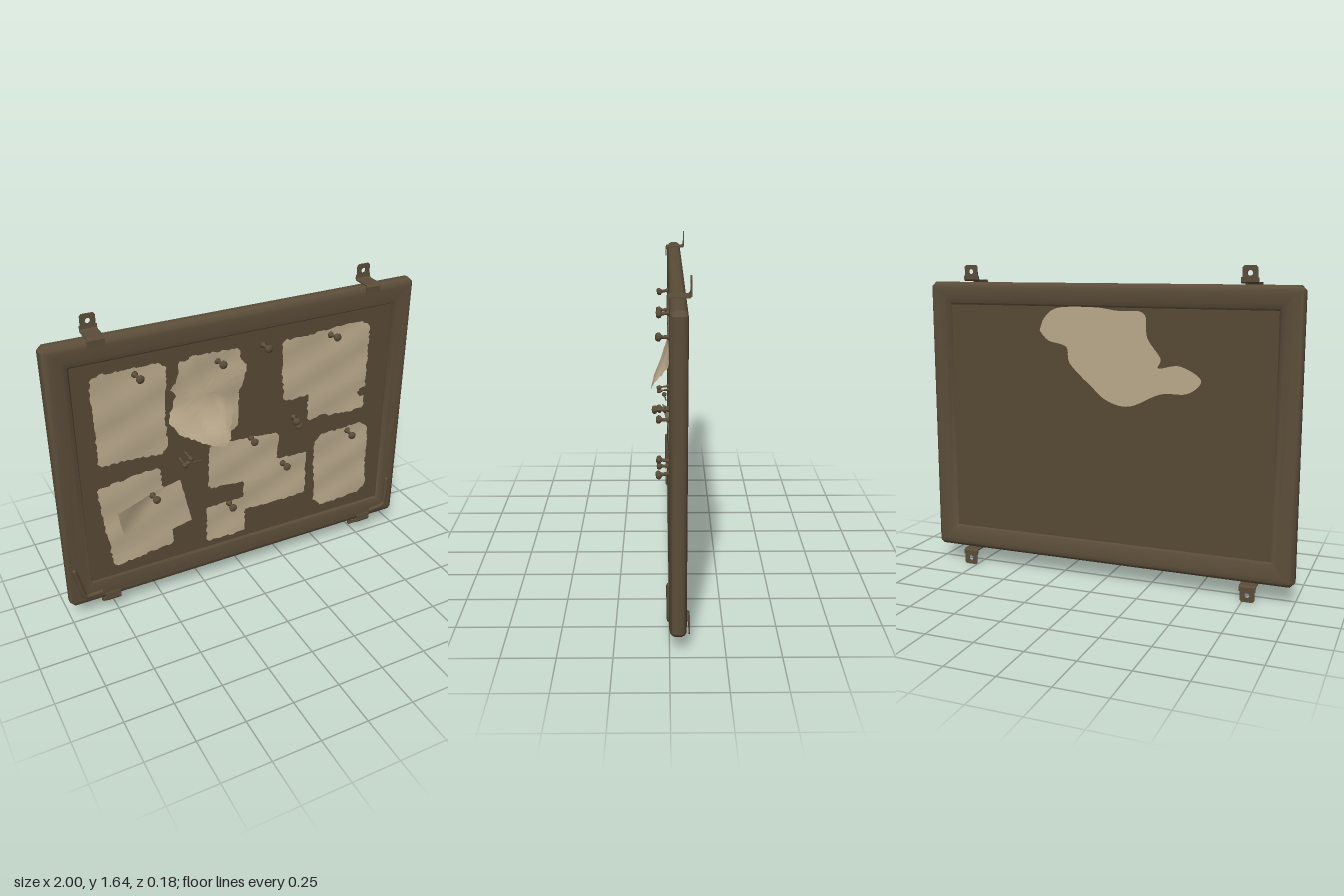
import * as THREE from 'three';
import { toCreasedNormals } from 'three/addons/utils/BufferGeometryUtils.js';

const wood = new THREE.MeshStandardMaterial({ color: 0x5b4d39 });
wood.name = 'weathered brown';
const cork = new THREE.MeshStandardMaterial({ color: 0x574935 });
cork.name = 'dark cork';
const paperMat = new THREE.MeshStandardMaterial({ color: 0xbaa98b, side: THREE.DoubleSide });
paperMat.name = 'old paper';

let seed = 7;
const rand = () => (seed = (seed * 16807) % 2147483647) / 2147483647;
const V = (x, y, z) => new THREE.Vector3(x, y, z);
const vec2 = (list) => list.map(([x, y]) => new THREE.Vector2(x, y));

function add(parent, name, geometry, material) {
  const mesh = new THREE.Mesh(geometry, material);
  mesh.name = name;
  parent.add(mesh);
  return mesh;
}

function meshGeometry(positions, indices) {
  const g = new THREE.BufferGeometry();
  g.setAttribute('position', new THREE.Float32BufferAttribute(positions, 3));
  g.setIndex(indices);
  g.computeVertexNormals();
  return g;
}

// Mitred frame: a moulding profile [inset, z] swept around a clipped rectangle
function frameGeometry() {
  const profile = [[0.122, -0.03], [0.122, -0.012], [0.116, -0.006], [0.09, -0.002], [0.035, 0.002],
    [0.02, -0.002], [0.008, -0.01], [0, -0.024], [0, -0.054], [0.008, -0.067], [0.02, -0.074],
    [0.04, -0.076], [0.08, -0.072], [0.11, -0.064], [0.122, -0.052]];
  const pos = [], idx = [], n = profile.length;
  for (const [d, z] of profile) {
    const w = 1 - d, h = 0.7325 - d, c = Math.max(0.002, 0.024 - d);
    const loop = [[-w + c, -h], [w - c, -h], [w, -h + c], [w, h - c], [w - c, h], [-w + c, h], [-w, h - c], [-w, -h + c]];
    for (const [x, y] of loop) pos.push(x, y + 0.8225, z);
  }
  for (let i = 0; i < n; i++) for (let j = 0; j < 8; j++) {
    const k = (j + 1) % 8, m = (i + 1) % n;
    const a = i * 8 + j, b = i * 8 + k, c = m * 8 + k, d = m * 8 + j;
    idx.push(a, c, b, a, d, c);
  }
  return toCreasedNormals(meshGeometry(pos, idx), 0.6);
}

// Tilted rectangle with clipped corners, clockwise from the top left
function sheetOutline(cx, cy, w, h, tilt, cut) {
  const x = w / 2, y = h / 2, c = Math.cos(tilt), s = Math.sin(tilt);
  return [[-x, y - cut], [-x + cut, y], [x - cut, y], [x, y - cut], [x, -y + cut], [x - cut, -y], [-x + cut, -y], [-x, -y + cut]]
    .map(([px, py]) => [cx + px * c - py * s, cy + px * s + py * c]);
}

// Ragged sheet: rings from the centre to a clockwise outline, bent by a height rule
function paperGeometry(outline, z, rag, wave, lift = () => 0) {
  const edge = [];
  outline.forEach(([x, y], i) => {
    const [x2, y2] = outline[(i + 1) % outline.length];
    const steps = Math.max(1, Math.round(Math.hypot(x2 - x, y2 - y) / 0.016));
    for (let s = 0; s < steps; s++) {
      const t = s / steps, r = s ? rag * 2 : 0;
      edge.push([x + (x2 - x) * t + (rand() - 0.5) * r, y + (y2 - y) * t + (rand() - 0.5) * r]);
    }
  });
  const cx = outline.reduce((s, p) => s + p[0], 0) / outline.length;
  const cy = outline.reduce((s, p) => s + p[1], 0) / outline.length;
  const height = (x, y) => z + lift(x, y)
    + wave * (Math.sin(x * 19 + y * 13 + z * 900) + Math.sin(y * 27 - x * 11)) * 0.5;
  const rings = 8, n = edge.length, pos = [cx, cy, height(cx, cy)], idx = [];
  for (let r = 1; r <= rings; r++) for (const [ex, ey] of edge) {
    const x = cx + (ex - cx) * r / rings, y = cy + (ey - cy) * r / rings;
    pos.push(x, y, height(x, y));
  }
  for (let j = 0; j < n; j++) {
    const k = (j + 1) % n;
    idx.push(0, 1 + k, 1 + j);
    for (let r = 0; r < rings - 1; r++) {
      const a = 1 + r * n + j, b = 1 + r * n + k;
      idx.push(a, b, b + n, a, b + n, a + n);
    }
  }
  return meshGeometry(pos, idx);
}

// Mounting bracket: bent strap over the frame edge with a drilled tab
function makeBracket(name) {
  const bracket = new THREE.Group();
  bracket.name = name;
  const strap = new THREE.Shape(vec2([[0.004, 1.515], [0.011, 1.515], [0.012, 1.555], [0.003, 1.567],
    [-0.08, 1.567], [-0.088, 1.574], [-0.089, 1.59], [-0.095, 1.59], [-0.095, 1.568], [-0.086, 1.56],
    [0, 1.56], [0.005, 1.55]]));
  const g = new THREE.ExtrudeGeometry(strap, { depth: 0.084, bevelEnabled: false });
  g.translate(0, 0, -0.042).rotateY(-Math.PI / 2);
  add(bracket, 'bracketStrap', g, wood);
  const tab = new THREE.Shape(vec2([[-0.037, 1.57], [0.037, 1.57], [0.037, 1.635], [0.028, 1.645], [-0.028, 1.645], [-0.037, 1.635]]));
  tab.holes.push(new THREE.Path().absarc(0, 1.61, 0.013, 0, Math.PI * 2, true));
  const t = new THREE.ExtrudeGeometry(tab, { depth: 0.006, bevelEnabled: false, curveSegments: 8 });
  add(bracket, 'bracketTab', t.translate(0, 0, -0.095), wood);
  return bracket;
}

const pinGeometry = new THREE.LatheGeometry(vec2([[0, -0.03], [0.004, -0.03], [0.004, -0.008], [0.017, -0.006],
  [0.016, 0], [0.009, 0.008], [0.008, 0.03], [0.012, 0.036], [0.02, 0.042], [0.021, 0.052], [0.015, 0.06], [0, 0.062]]), 14)
  .rotateX(Math.PI / 2);

export function createModel() {
  const model = new THREE.Group();
  model.name = 'noticeBoard';

  add(model, 'frame', frameGeometry(), wood);
  add(model, 'corkPanel', new THREE.BoxGeometry(1.77, 1.25, 0.034).translate(0, 0.8265, -0.038), cork);

  // Bare patch on the back of the panel
  const patch = new THREE.SplineCurve(vec2([[0.36, 1.31], [0.33, 1.38], [0.25, 1.43], [0.05, 1.435], [-0.07, 1.42], [-0.21, 1.41],
    [-0.23, 1.29], [-0.3, 1.19], [-0.29, 1.14], [-0.4, 1.155], [-0.51, 1.09], [-0.44, 1.02], [-0.3, 1.01],
    [-0.14, 0.94], [-0.02, 0.96], [0.07, 1.03], [0.19, 1.145], [0.21, 1.23], [0.31, 1.26], [0.36, 1.31]]));
  const patchMesh = add(model, 'backPatch', new THREE.ShapeGeometry(new THREE.Shape(patch.getPoints(120))), paperMat);
  patchMesh.position.z = -0.0565;

  // Flat sheets: centre, size, tilt, corner cut, z, raggedness
  const sheets = [
    ['upperLeftUnderSheet', -0.605, 1.125, 0.36, 0.48, 0.02, 0.015, -0.016, 0.006],
    ['upperLeftSheet', -0.6, 1.125, 0.345, 0.48, -0.08, 0.01, -0.009, 0.005],
    ['middleUnderSheet', -0.16, 1.14, 0.28, 0.45, -0.04, 0.02, -0.016, 0.006],
    ['upperRightLowSheet', 0.567, 1.095, 0.36, 0.5, 0, 0.015, -0.017, 0.006],
    ['upperRightWideSheet', 0.475, 1.185, 0.5, 0.345, 0.04, 0.02, -0.012, 0.007],
    ['upperRightNote', 0.46, 1.2, 0.405, 0.29, -0.06, 0.025, -0.006, 0.002],
    ['lowerLeftSheet', -0.608, 0.535, 0.337, 0.493, 0.12, 0.015, -0.015, 0.006],
    ['lowerMiddleNote', 0.195, 0.525, 0.385, 0.27, 0, 0.01, -0.015, 0.005],
    ['centreNote', 0, 0.71, 0.405, 0.265, -0.06, 0.02, -0.008, 0.004],
    ['smallNote', -0.105, 0.365, 0.23, 0.22, 0, 0.008, -0.013, 0.006],
    ['lowerRightSheet', 0.613, 0.515, 0.345, 0.47, 0.02, 0.045, -0.013, 0.006],
  ];
  for (const [name, x, y, w, h, tilt, cut, z, rag] of sheets) {
    add(model, name, paperGeometry(sheetOutline(x, y, w, h, tilt, cut), z, rag, 0.005), paperMat);
  }

  // Note with its upper left corner curling off the board
  const curlCorner = (x, y) => 0.04 * THREE.MathUtils.smoothstep(y - x - 1.12, 0, 0.24);
  add(model, 'curledNote', paperGeometry(sheetOutline(-0.515, 0.525, 0.365, 0.275, 0.21, 0.003), -0.007, 0.002, 0.003, curlCorner), paperMat);

  // Crumpled sheet bulging forward along its lower edge
  const bulge = (x, y) => 0.085 * THREE.MathUtils.smoothstep(1.14 - y - Math.max(0, x + 0.12) * 1.2, 0, 0.26)
    + 0.008 * Math.abs(Math.sin(x * 24 + y * 9));
  const crumpled = [[-0.34, 1.36], [-0.06, 1.37], [-0.03, 1.31], [0.015, 1.27], [-0.01, 1.17], [-0.04, 1.08],
    [-0.14, 0.88], [-0.21, 0.9], [-0.38, 0.99], [-0.42, 1.05], [-0.37, 1.18], [-0.4, 1.22], [-0.37, 1.25]];
  add(model, 'crumpledSheet', paperGeometry(crumpled, -0.008, 0.006, 0.006, bulge), paperMat);

  // Push pins: x, y, z
  const pins = [[-0.57, 1.34, 0], [-0.145, 1.32, 0], [0.105, 1.355, 0], [0.5, 1.33, 0], [0.04, 0.84, 0], [0.28, 0.915, 0.02],
    [0.305, 0.87, 0], [-0.52, 0.65, 0], [0.235, 0.63, 0], [-0.09, 0.47, 0], [0.64, 0.73, 0], [-0.33, 0.85, 0.002], [-0.36, 0.82, 0]];
  for (const [x, y, z] of pins) {
    const pin = add(model, 'pushPin', pinGeometry, wood);
    pin.position.set(x, y, z);
    pin.rotation.set((rand() - 0.5) * 0.4, (rand() - 0.5) * 0.4, 0);
    if (x < -0.3 && x > -0.4) pin.scale.set(0.6, 0.6, 1);
  }
  const needle = new THREE.TubeGeometry(new THREE.LineCurve3(V(-0.34, 0.8, 0.02), V(-0.245, 0.79, 0.01)), 1, 0.004, 6);
  add(model, 'loosePinNeedle', needle, wood);
  add(model, 'loosePinHead', new THREE.SphereGeometry(0.013, 10, 8).translate(-0.33, 0.802, 0.02), wood);

  // Brackets above and, turned over, below
  for (const x of [-0.745, 0.735]) {
    const b = makeBracket('topBracket');
    b.position.x = x;
    model.add(b);
  }
  for (const x of [-0.775, 0.785]) {
    const b = makeBracket('bottomBracket');
    b.rotation.z = Math.PI;
    b.position.set(x, 1.645, 0);
    model.add(b);
  }

  // Bent rods at the lower corners
  const rods = { rightRod: [V(-0.965, 0.325, 0.002), V(-0.925, 0.14, 0), V(-0.83, 0.145, 0)],
    leftRod: [V(0.938, 0.325, 0.002), V(0.936, 0.145, 0), V(0.83, 0.135, 0)] };
  for (const [name, [a, b, c]] of Object.entries(rods)) {
    const path = new THREE.CurvePath();
    const p = b.clone().lerp(a, 0.15), q = b.clone().lerp(c, 0.3);
    path.add(new THREE.LineCurve3(a, p));
    path.add(new THREE.QuadraticBezierCurve3(p, b, q));
    path.add(new THREE.LineCurve3(q, c));
    add(model, name, new THREE.TubeGeometry(path, 24, 0.013, 8), wood);
    add(model, name + 'Tip', new THREE.SphereGeometry(0.013, 8, 6).translate(a.x, a.y, a.z), wood);
  }
  return model;
}
